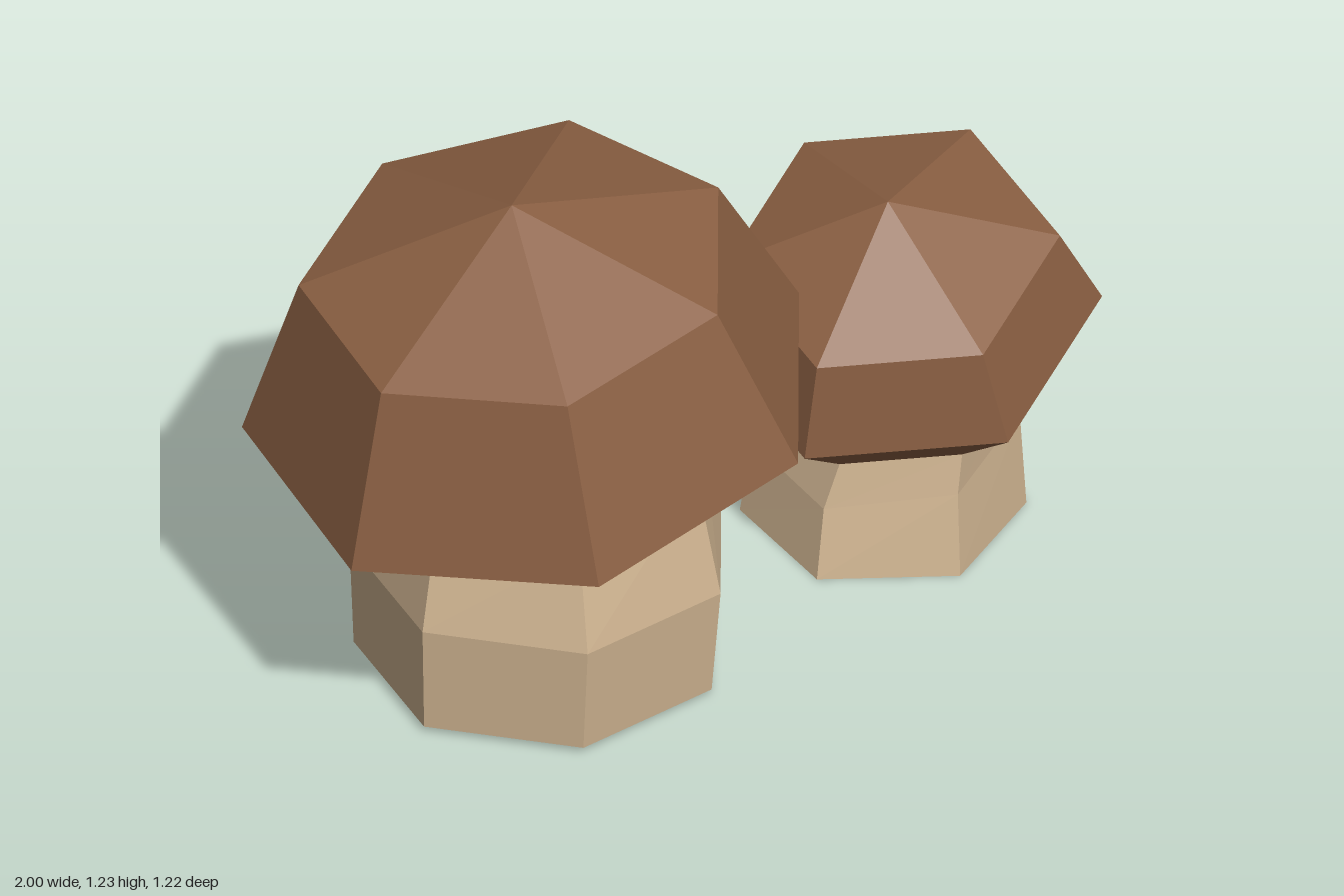
import * as THREE from 'three';

// Faceted skin through a stack of tilted regular rings, listed from bottom to top.
// Each ring: [centre x, y, z, radius, rise per x, rise per z]; radius 0 is a tip.
function loft(sides, startDeg, rings) {
  const point = ([x, y, z, r, sx = 0, sz = 0], j) => {
    const a = THREE.MathUtils.degToRad(startDeg + ((j % sides) * 360) / sides);
    const dx = r * Math.cos(a), dz = r * Math.sin(a);
    return [x + dx, y + dx * sx + dz * sz, z + dz];
  };
  const pos = [];
  for (let i = 0; i < rings.length - 1; i++) {
    const lo = rings[i], hi = rings[i + 1];
    for (let j = 0; j < sides; j++) {
      const a = point(lo, j), b = point(lo, j + 1);
      const c = point(hi, j), d = point(hi, j + 1);
      if (lo[3] > 0) pos.push(...a, ...c, ...b);
      if (hi[3] > 0) pos.push(...b, ...c, ...d);
    }
  }
  const geo = new THREE.BufferGeometry();
  geo.setAttribute('position', new THREE.Float32BufferAttribute(pos, 3));
  geo.computeVertexNormals();
  return geo;
}

export function createModel() {
  const capBrown = new THREE.MeshStandardMaterial({ color: 0x8a5f42 });
  capBrown.name = 'capBrown';
  const stemCream = new THREE.MeshStandardMaterial({ color: 0xcfb491 });
  stemCream.name = 'stemCream';

  const model = new THREE.Group();
  model.name = 'mushrooms';

  function mushroom(name, sides, startDeg, stemRings, capRings) {
    const group = new THREE.Group();
    group.name = name;
    const stem = new THREE.Mesh(loft(sides, startDeg, stemRings), stemCream);
    stem.name = 'stem';
    const cap = new THREE.Mesh(loft(sides, startDeg, capRings), capBrown);
    cap.name = 'cap';
    group.add(stem, cap);
    model.add(group);
  }

  // Large seven-sided mushroom
  const largeNeck = [-0.367, 0.547, 0.03, 0.374, 0.15, -0.026];
  mushroom('largeMushroom', 7, 11.5,
    [
      [-0.367, 0.015, 0.03, 0],
      [-0.367, 0.015, 0.03, 0.41],
      [-0.367, 0.28, 0.04, 0.425],
      largeNeck,
    ],
    [
      largeNeck,
      [-0.381, 0.657, 0.022, 0.637, 0.157, -0.026], // rim
      [-0.434, 1.044, 0.036, 0.48, 0.147, -0.026], // shoulder
      [-0.465, 1.23, 0.05, 0], // tip
    ]);

  // Small six-sided mushroom, leaning more
  const smallNeck = [0.575, 0.34, 0.06, 0.267, 0.199, -0.172];
  mushroom('smallMushroom', 6, 34.5,
    [
      [0.547, 0, 0.05, 0],
      [0.547, 0, 0.05, 0.312],
      [0.56, 0.2, 0.042, 0.292, 0.13, -0.01],
      smallNeck,
    ],
    [
      smallNeck,
      [0.6025, 0.482, 0.0325, 0.443, 0.199, -0.172], // rim
      [0.5625, 0.688, 0.0675, 0.362, 0.199, -0.172], // shoulder
      [0.53, 0.84, 0.09, 0], // tip
    ]);

  return model;
}
